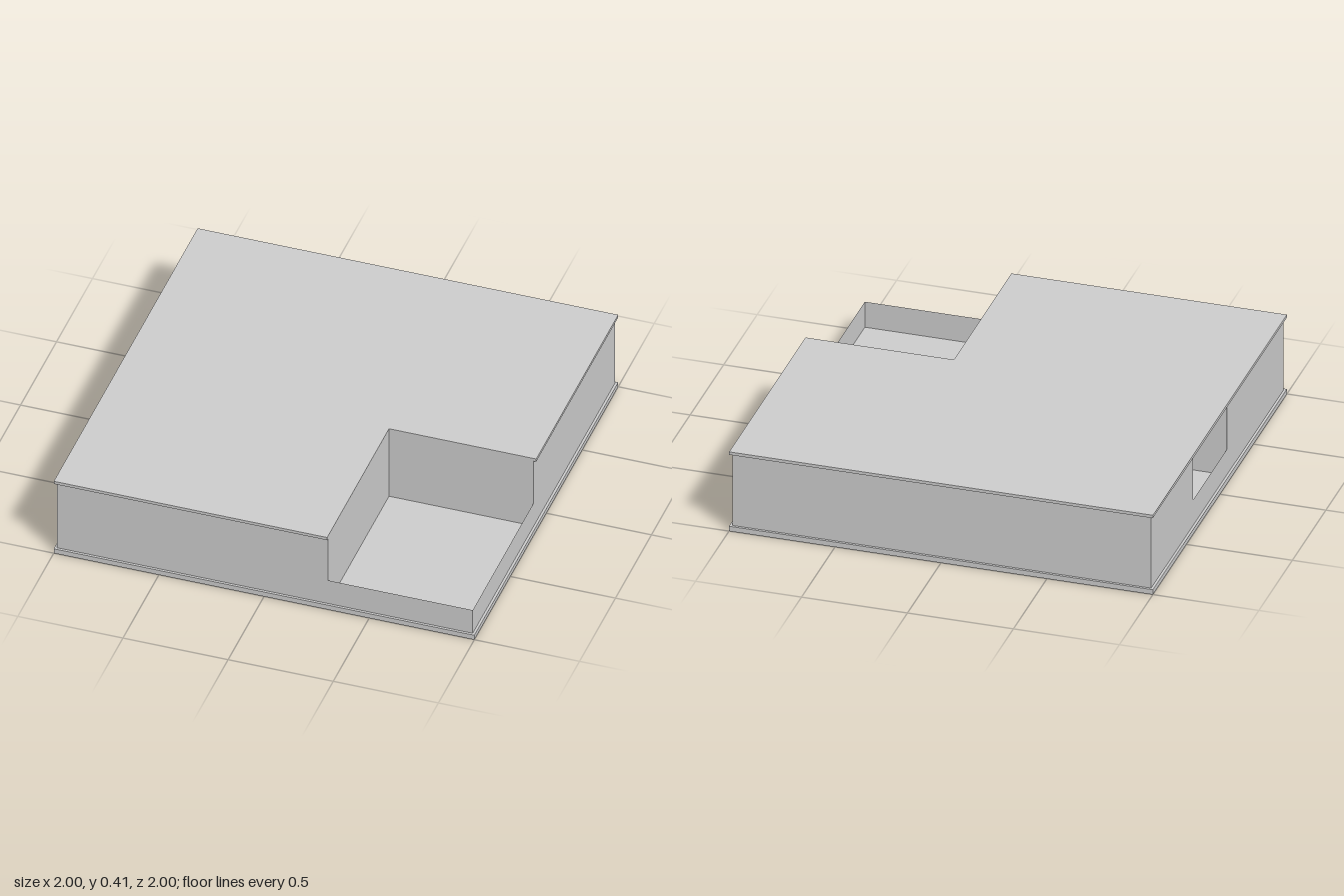
import * as THREE from 'three';

const FLOOR = 0.025, RAIL = 0.155, EAVE = 0.39, TOP = 0.405;
const W = 0.988;                       // wall line, set in from the slab edge
const NX = 0.3, NZ = 0.14;             // inner corner of the open terrace
const RX = -0.73, RZ0 = -0.36, RZ1 = 0.14; // covered side recess

const material = new THREE.MeshStandardMaterial({ color: 0xcccccc, flatShading: true });
const thin = new THREE.MeshStandardMaterial({ color: 0xcccccc, side: THREE.DoubleSide });

// Extrude a floor plan given as [x, z] corners between two heights
function plan(name, corners, y0, y1) {
  const shape = new THREE.Shape(corners.map(([x, z]) => new THREE.Vector2(x, -z)));
  const geometry = new THREE.ExtrudeGeometry(shape, { depth: y1 - y0, bevelEnabled: false });
  geometry.rotateX(-Math.PI / 2).translate(0, y0, 0);
  const mesh = new THREE.Mesh(geometry, material);
  mesh.name = name;
  return mesh;
}

// Thin upright panel from the floor to rail height between two [x, z] points
function parapet(name, [x0, z0], [x1, z1]) {
  const geometry = new THREE.PlaneGeometry(Math.hypot(x1 - x0, z1 - z0), RAIL - FLOOR);
  const mesh = new THREE.Mesh(geometry, thin);
  mesh.position.set((x0 + x1) / 2, (FLOOR + RAIL) / 2, (z0 + z1) / 2);
  mesh.rotation.y = -Math.atan2(z1 - z0, x1 - x0);
  mesh.name = name;
  return mesh;
}

export function createModel() {
  const group = new THREE.Group();
  group.name = 'buildingStorey';

  // Floor slab
  group.add(plan('floorSlab', [[-1, 1], [1, 1], [1, -1], [-1, -1]], 0, FLOOR));

  // Walls, wrapping the corner terrace and the side recess
  group.add(plan('walls', [
    [-W, W], [NX, W], [NX, NZ], [W, NZ], [W, -W], [-W, -W],
    [-W, RZ0], [RX, RZ0], [RX, RZ1], [-W, RZ1],
  ], FLOOR, EAVE));

  // Roof slab, open above the terrace only
  group.add(plan('roofSlab', [
    [-1, 1], [NX, 1], [NX, NZ], [1, NZ], [1, -1], [-1, -1],
  ], EAVE, TOP));

  // Low parapets
  group.add(parapet('terraceFrontParapet', [NX, W], [W, W]));
  group.add(parapet('terraceSideParapet', [W, W], [W, NZ]));
  group.add(parapet('recessParapet', [-W, RZ0], [-W, RZ1]));

  return group;
}
